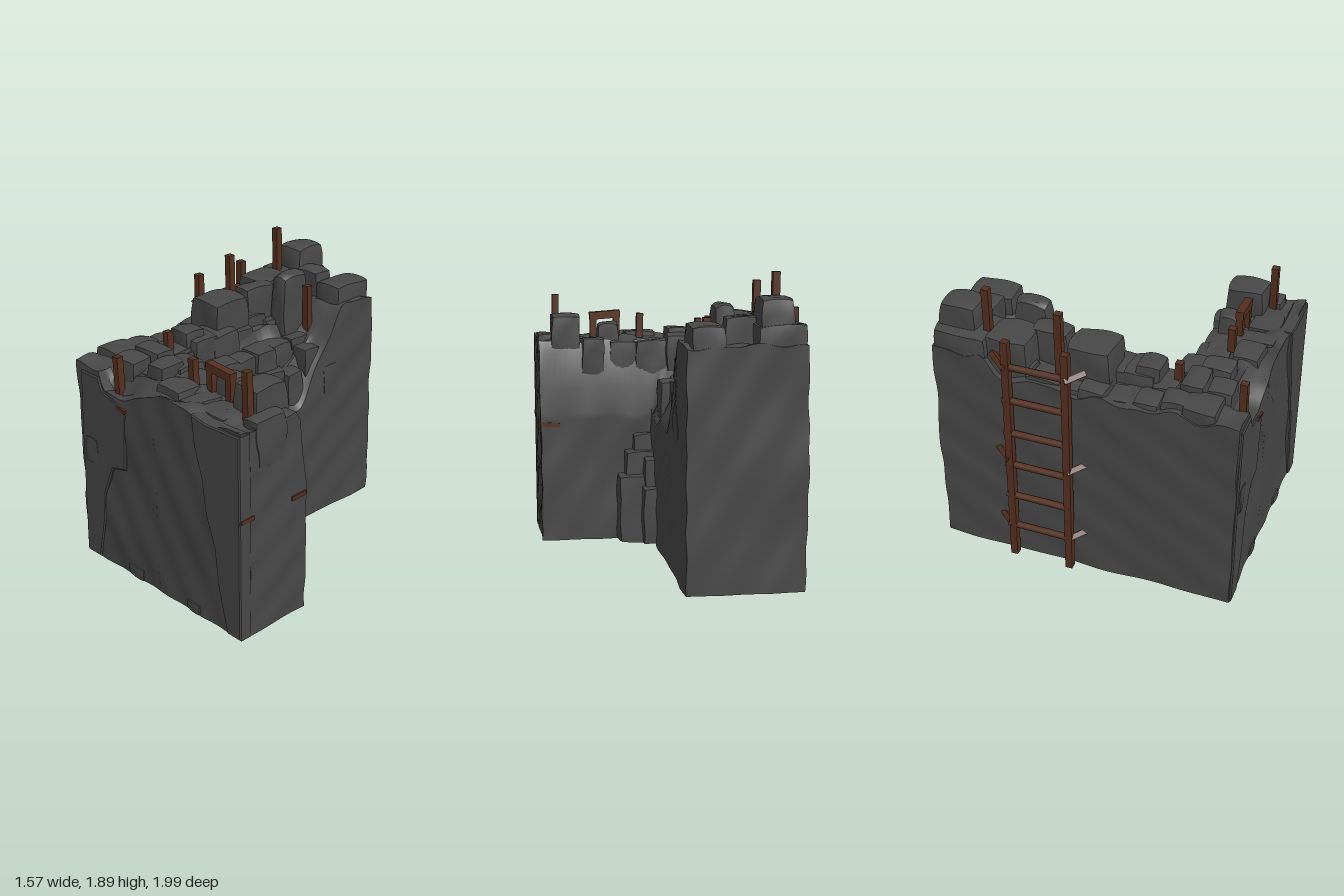
import * as THREE from 'three';
import { toCreasedNormals } from 'three/addons/utils/BufferGeometryUtils.js';

const rock = new THREE.MeshStandardMaterial({ color: 0x484848 });
rock.name = 'dark rock';
const wood = new THREE.MeshStandardMaterial({ color: 0x55301f });
wood.name = 'old wood';

const clamp = THREE.MathUtils.clamp;
const smooth = THREE.MathUtils.smoothstep;

// Gentle wobble that depends only on position, so neighbours agree
const wobble = (a, b, c) =>
  0.6 * Math.sin(9 * a + 4 * b + 2) * Math.cos(8 * c - 3 * a) + 0.4 * Math.sin(21 * b + 13 * c + 5 * a);

function roughen(geo, amount) {
  const p = geo.attributes.position;
  for (let i = 0; i < p.count; i++) {
    const x = p.getX(i), y = p.getY(i), z = p.getZ(i);
    p.setXYZ(i,
      x + amount * wobble(x, y, z),
      y < 0.001 ? 0 : y + amount * wobble(y + 2, z, x),
      z + amount * wobble(z + 4, x, y));
  }
  return toCreasedNormals(geo, 0.65);
}

// Ground height: high outer rim, terraces stepping down into the inner corner,
// and a shallow notch in the front edge
function height(x, z) {
  const rim = 1.36 + 0.12 * smooth(-z, 0.55, 0.7) + 0.03 * wobble(x * 2, 0, z * 2);
  const bowl = smooth(z, -0.66, -0.25) * (1 - smooth(z, 0.42, 0.52));
  const steep = clamp((x + 0.33) / 0.33, 0, 1);
  const stepped = (Math.floor(steep * 4) + smooth(steep * 4 % 1, 0.45, 1)) / 4;
  const notch = smooth(z, 0.84, 0.88) * smooth(x, -0.5, -0.45) * (1 - smooth(x, -0.3, 0));
  return rim - 0.5 * bowl * stepped - 0.13 * notch;
}

// Seeded random numbers for the small rubble
function seeded(seed) {
  return () => {
    seed = (seed * 16807) % 2147483647;
    return seed / 2147483647;
  };
}

export function createModel() {
  const model = new THREE.Group();

  const add = (name, geo, mat, parent = model) => {
    const m = new THREE.Mesh(geo, mat);
    m.name = name;
    parent.add(m);
    return m;
  };
  const group = (name) => {
    const g = new THREE.Group();
    g.name = name;
    model.add(g);
    return g;
  };

  // Rock mass whose top follows the height rule
  function mass(name, x0, x1, z0, z1) {
    const w = x1 - x0, d = z1 - z0;
    const geo = new THREE.BoxGeometry(w, 1, d, Math.ceil(w / 0.035), 26, Math.ceil(d / 0.035));
    geo.translate((x0 + x1) / 2, 0.5, (z0 + z1) / 2);
    const p = geo.attributes.position;
    for (let i = 0; i < p.count; i++) p.setY(i, p.getY(i) * height(p.getX(i), p.getZ(i)));
    add(name, roughen(geo, 0.01), rock);
  }
  mass('longArm', -0.712, 0.015, -0.99, 0.965);
  mass('shortArm', -0.1, 0.768, 0.43, 0.965);

  // Boulder with softened corners: centre x and z, width, depth, top, thickness
  function stone(name, parent, x, z, w, d, top, thick = 0.3, soft = 0.09) {
    const geo = new THREE.BoxGeometry(1, 1, 1, 6, 6, 6);
    const p = geo.attributes.position, v = new THREE.Vector3();
    for (let i = 0; i < p.count; i++) {
      v.fromBufferAttribute(p, i);
      v.multiplyScalar(1 - soft * Math.max(0, v.length() - 0.62) / 0.25);
      p.setXYZ(i, v.x * w, v.y * thick, v.z * d);
    }
    geo.translate(x, top - thick / 2, z);
    add(name, roughen(geo, 0.01), rock, parent);
  }

  // Large boulders crowning the rim
  const boulders = group('topBoulders');
  [
    [-0.525, -0.85, 0.21, 0.24, 1.76, 0.3, 0.14], [-0.555, -0.81, 0.31, 0.35, 1.6], [-0.335, -0.78, 0.19, 0.14, 1.64],
    [-0.12, -0.83, 0.2, 0.31, 1.6], [-0.29, -0.49, 0.13, 0.22, 1.69, 0.5, 0.14], [-0.545, -0.52, 0.25, 0.28, 1.61],
    [-0.43, -0.3, 0.14, 0.24, 1.62], [-0.46, -0.02, 0.26, 0.29, 1.6], [-0.4, 0.32, 0.16, 0.16, 1.5],
    [0.585, 0.63, 0.2, 0.25, 1.54], [0.29, 0.6, 0.14, 0.14, 1.48, 0.3, 0.14], [0.71, 0.72, 0.13, 0.23, 1.4],
    [-0.19, 0.68, 0.14, 0.2, 1.44],
  ].forEach((s) => stone('boulder', boulders, ...s));

  // Small rubble: outer rim, bowl terraces and short arm
  const rubble = group('rubble');
  const rand = seeded(11);
  const scatter = (x, z, lift) => {
    const w = 0.12 + 0.12 * rand(), d = 0.13 + 0.13 * rand();
    stone('rubbleStone', rubble, x, z, w, d, height(x, z) + lift * (0.2 + 0.8 * rand()), 0.25);
  };
  for (let z = -0.45; z < 0.75; z += 0.165) {
    scatter(-0.59, z, 0.09);
    scatter(-0.42 + 0.06 * rand(), z + 0.06, 0.09);
    scatter(-0.26 + 0.06 * rand(), z, 0.06);
    if (z < 0.3) scatter(-0.12, z, 0.04);
  }
  for (let x = 0; x < 0.5; x += 0.2) {
    scatter(x, 0.58, 0.03);
    scatter(x + 0.05, 0.8, 0.03);
  }

  // Buttresses folded into the inner corner, flaring out towards the ground
  const folds = group('cornerButtresses');
  for (const [x, z, h] of [[0.1, 0.19, 0.4], [0.08, 0.25, 0.58], [0.25, 0.28, 0.46], [0.2, 0.33, 0.62], [0.14, 0.38, 0.74]]) {
    stone('buttress', folds, x / 2 - 0.03, z / 2 + 0.25, x + 0.06, 0.5 - z, h, h, 0.05);
  }

  // Proud slabs beside the smooth front panel, split off along cracks
  function slab(name, pts, depth) {
    const shape = new THREE.Shape(pts.map(([x, y]) => new THREE.Vector2(x, y)));
    const geo = new THREE.ExtrudeGeometry(shape, {
      depth, bevelEnabled: true, bevelSize: 0.008, bevelThickness: 0.008, bevelSegments: 1,
    });
    geo.translate(0, 0, 0.9);
    add(name, toCreasedNormals(geo, 0.6), rock);
  }
  slab('frontRightSlab', [[0.38, 1.36], [0.4, 1.18], [0.46, 0.98], [0.49, 0.76], [0.56, 0.56], [0.59, 0.3],
    [0.66, 0.01], [0.765, 0.01], [0.768, 1.35], [0.5, 1.34]], 0.078);
  slab('frontLeftSlab', [[-0.7, 0.01], [-0.58, 0.01], [-0.51, 0.32], [-0.49, 0.52], [-0.4, 0.73], [-0.28, 0.76],
    [-0.25, 1.15], [-0.33, 1.2], [-0.46, 1.22], [-0.5, 1.31], [-0.66, 1.31], [-0.68, 0.85]], 0.068);

  // Small broken ledges on the faces
  const ledges = group('ledges');
  [
    [-0.6, 0.94, 0.12, 0.09, 0.87, 0.17], [-0.21, 0.94, 0.14, 0.07, 0.08, 0.08], [0.34, 0.94, 0.12, 0.07, 0.07, 0.07],
    [0.735, 0.72, 0.08, 0.24, 1.36, 0.16], [-0.03, -0.58, 0.1, 0.14, 1.1, 0.25],
  ].forEach((s) => stone('ledge', ledges, ...s));

  // Square timber beam between two points
  function beam(name, a, b, t, parent = model) {
    const from = new THREE.Vector3(...a), to = new THREE.Vector3(...b);
    const m = add(name, new THREE.BoxGeometry(t, from.distanceTo(to), t), wood, parent);
    m.position.copy(from).lerp(to, 0.5);
    m.quaternion.setFromUnitVectors(new THREE.Vector3(0, 1, 0), to.sub(from).normalize());
  }

  // Upright posts: x, z, top
  const posts = group('posts');
  for (const [x, z, top] of [[-0.58, -0.665, 1.89], [-0.565, -0.21, 1.81], [-0.18, -0.55, 1.61], [-0.39, 0.49, 1.52],
    [-0.39, 0.895, 1.47], [0.06, 0.68, 1.53], [0.635, 0.785, 1.66]]) {
    beam('post', [x + 0.01, 1.2, z], [x, top, z], 0.046, posts);
  }
  beam('frontPlank', [-0.33, 1.175, 0.965], [-0.24, 1.165, 0.97], 0.025);

  // Doorway-like frame on the short arm
  const frame = group('timberFrame');
  for (const x of [0.225, 0.385]) beam('frameLeg', [x, 1.3, 0.68], [x, 1.52, 0.68], 0.045, frame);
  beam('frameLintel', [0.2, 1.53, 0.68], [0.41, 1.515, 0.68], 0.052, frame);

  // Braces wrapped around both corners of the short arm's end
  const braces = group('cornerBraces');
  for (const [z, inner] of [[0.972, 0.87], [0.44, 0.56]]) {
    beam('braceAcross', [0.64, 0.8, z], [0.77, 0.81, z], 0.028, braces);
    beam('braceAlong', [0.765, 0.81, z], [0.765, 0.81, inner], 0.028, braces);
  }

  // Ladder on the outer wall, with ties into the rock
  const ladder = group('ladder');
  for (const z of [-0.48, -0.095]) {
    beam('rail', [-0.765, 0.01, z], [-0.742, 1.66, z], 0.047, ladder);
    for (const y of [0.25, 0.79, 1.48]) {
      beam('tie', [-0.77, y, z], [-0.68, y + 0.03, z + (z < -0.3 ? -0.12 : 0.1)], 0.035, ladder);
    }
  }
  for (let i = 0; i < 6; i++) {
    const y = 0.25 + 0.246 * i;
    const rung = add('rung', new THREE.CylinderGeometry(0.022, 0.022, 0.43, 8), wood, ladder);
    rung.rotation.x = Math.PI / 2;
    rung.position.set(-0.765 + 0.014 * y, y, -0.3);
  }
  return model;
}
